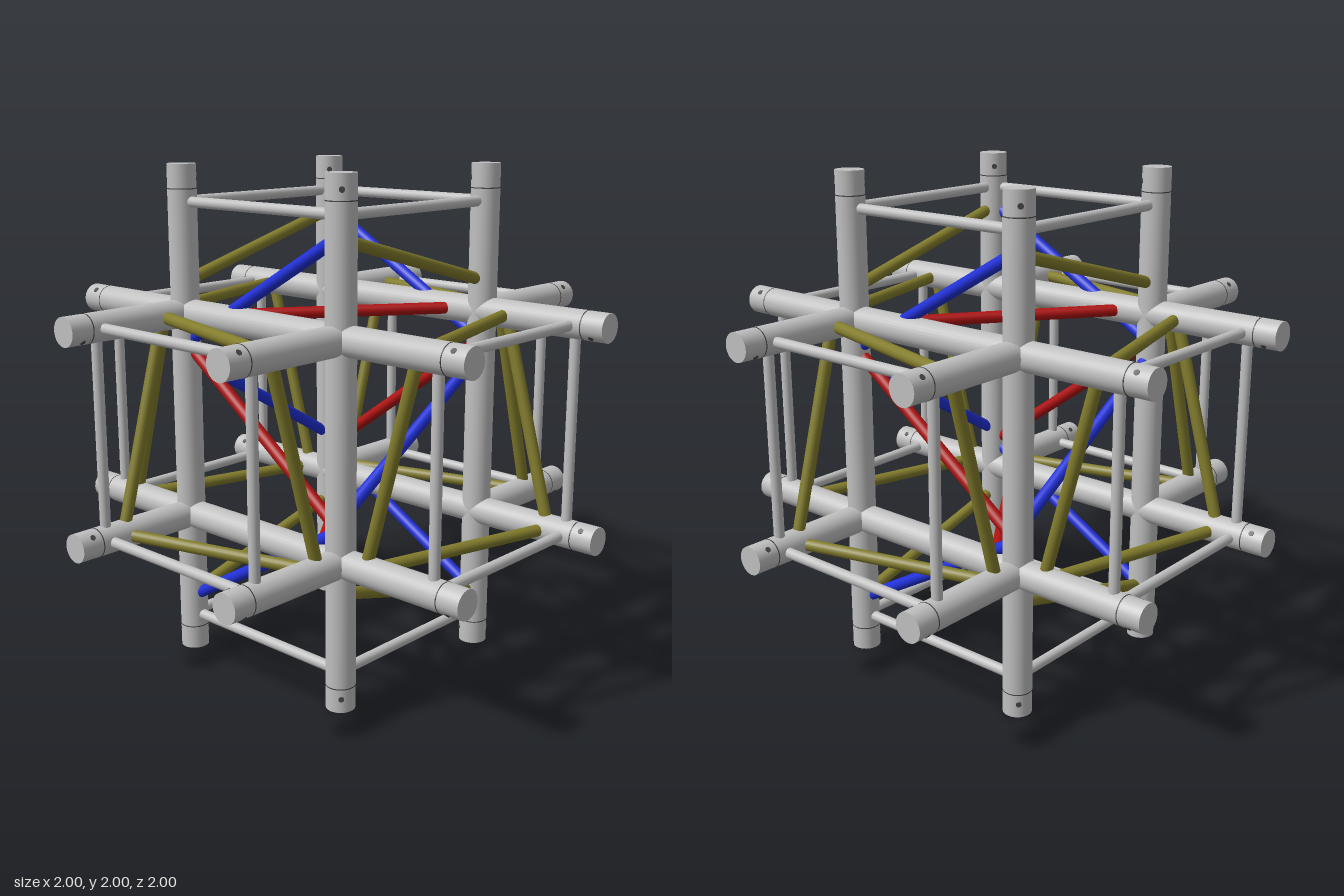
import * as THREE from 'three';

const C = 0.418;   // tube offset from the centre
const R = 0.0575;  // main tube radius
const E = 0.4;     // where braces meet the tubes

const mat = (name, color) => Object.assign(new THREE.MeshStandardMaterial({ color }), { name });

export function createModel() {
  const metal = mat('metal', 0xc0c0c0);
  const dark = mat('darkHole', 0x484848);
  const olive = mat('olive', 0x827c2c);
  const blue = mat('blue', 0x2030d8);
  const red = mat('red', 0xb01212);

  const root = new THREE.Group();
  root.name = 'trussCrossJunction';
  const frame = new THREE.Group();
  frame.name = 'frame';
  frame.position.y = 1;
  root.add(frame);

  // Round bar between two points
  const bar = (name, a, b, radius, material, sides = 20) => {
    const dir = b.clone().sub(a);
    const mesh = new THREE.Mesh(new THREE.CylinderGeometry(radius, radius, dir.length(), sides), material);
    mesh.position.copy(a).add(b).multiplyScalar(0.5);
    mesh.quaternion.setFromUnitVectors(new THREE.Vector3(0, 1, 0), dir.normalize());
    mesh.name = name;
    frame.add(mesh);
  };

  // Point with distance d along an axis, and u, v along the next two axes
  const at = (axis, d, u, v) => {
    const p = new THREE.Vector3();
    p.setComponent(axis, d);
    p.setComponent((axis + 1) % 3, u);
    p.setComponent((axis + 2) % 3, v);
    return p;
  };
  const signs = [-1, 1];

  for (let axis = 0; axis < 3; axis++) {
    for (const s of signs) for (const t of signs) {
      const u = s * C, v = t * C;
      // Main tubes: x and y run through, z is made of stubs
      if (axis < 2) bar('mainTube', at(axis, -0.905, u, v), at(axis, 0.905, u, v), R, metal, 32);
      for (const d of signs) {
        if (axis === 2) bar('stubTube', at(axis, d * C, u, v), at(axis, d * 0.905, u, v), R, metal, 32);
        // End sleeve, seam ring and pin hole on the outward diagonal
        bar('endSleeve', at(axis, d * 0.905, u, v), at(axis, d, u, v), R - 0.0005, metal, 32);
        bar('seam', at(axis, d * 0.903, u, v), at(axis, d * 0.907, u, v), R + 0.0006, dark, 32);
        const k = (R + 0.001) * Math.SQRT1_2;
        bar('pinHole', at(axis, d * 0.945, u - s * k, v - t * k),
          at(axis, d * 0.945, u + s * k, v + t * k), 0.011, dark, 12);
      }
    }

    // Each arm: four rungs and four zigzag braces
    for (const d of signs) for (const s of signs) {
      bar('rung', at(axis, d * 0.855, -C, s * C), at(axis, d * 0.855, C, s * C), 0.021, metal);
      bar('rung', at(axis, d * 0.855, s * C, -C), at(axis, d * 0.855, s * C, C), 0.021, metal);

      const k = d * s; // decides which end of the brace lies further out
      const [m, h] = [0.655, 0.11];
      bar('armBrace', at(axis, d * (m - k * h), -E, s * C), at(axis, d * (m + k * h), E, s * C), 0.024,
        olive);
      const steep = axis === 1; // the vertical arms carry steeper side braces
      const [m2, h2] = steep ? [0.54, 0.233] : [m, h];
      if (steep) {
        // for the y axis the second direction is x, the first is z
        bar('sideBrace', at(axis, d * (m2 - k * h2), s * C, -E), at(axis, d * (m2 + k * h2), s * C, E), 0.024, blue);
      } else {
        bar('armBrace', at(axis, d * (m2 - k * h2), s * C, -E), at(axis, d * (m2 + k * h2), s * C, E), 0.024, olive);
      }
    }
  }

  // Braces of the central cube, mirrored on opposite faces
  const V = (x, y, z) => new THREE.Vector3(x, y, z);
  for (const s of signs) {
    bar('frontBackBrace', V(-E, s * 0.29, s * C), V(E, -s * 0.29, s * C), 0.024, red);
    bar('topBottomBrace', V(-s * 0.29, s * C, E), V(s * 0.29, s * C, -E), 0.024, red);
    bar('middleSideBrace', V(s * C, -s * 0.24, E), V(s * C, s * 0.24, -E), 0.024, blue);
  }
  return root;
}
